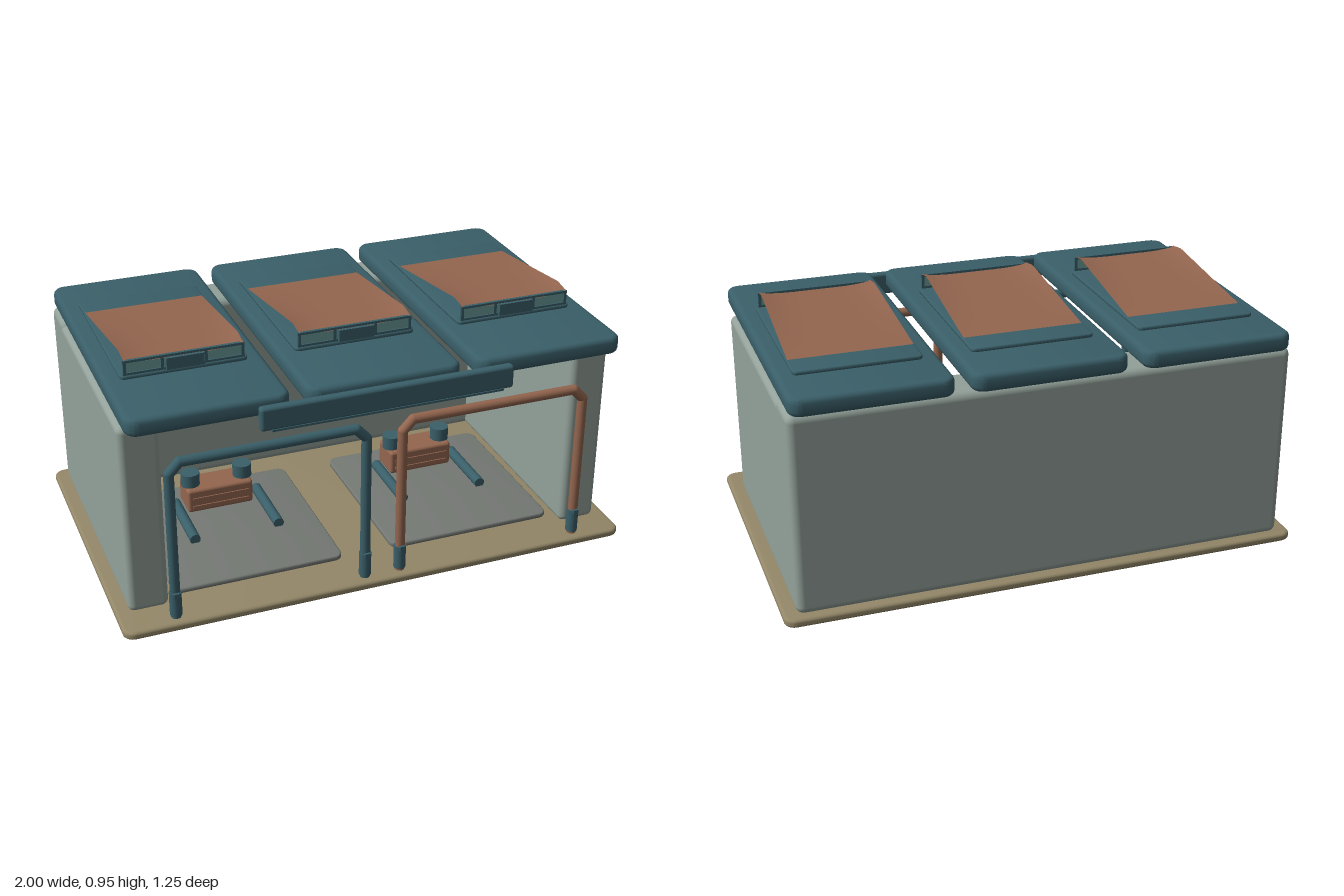
import * as THREE from 'three';
import { toCreasedNormals } from 'three/addons/utils/BufferGeometryUtils.js';
import { RoundedBoxGeometry } from 'three/addons/geometries/RoundedBoxGeometry.js';

const mat = (name, color, side = THREE.FrontSide) => {
  const m = new THREE.MeshStandardMaterial({ color, side });
  m.name = name;
  return m;
};

export function createModel() {
  const teal = mat('teal', 0x3a5f69);
  const copper = mat('copper', 0x94664f, THREE.DoubleSide);
  const wall = mat('grey green', 0x93a19a);
  const sand = mat('sand', 0x938768);
  const grey = mat('pad grey', 0x757974);
  const glass = mat('glass', 0x6a9c9a);
  const dark = mat('dark teal', 0x263a40);

  const model = new THREE.Group();
  model.name = 'shelter';

  const add = (parent, name, geo, material, x = 0, y = 0, z = 0) => {
    const mesh = new THREE.Mesh(geo, material);
    mesh.name = name;
    mesh.position.set(x, y, z);
    parent.add(mesh);
    return mesh;
  };
  const group = (name, x = 0, y = 0, z = 0) => {
    const g = new THREE.Group();
    g.name = name;
    g.position.set(x, y, z);
    model.add(g);
    return g;
  };
  const box = (w, h, d) => new THREE.BoxGeometry(w, h, d);
  const round = (w, h, d, r) => new RoundedBoxGeometry(w, h, d, 4, r);

  // Lying plate with rounded corners and bevelled edges, standing on y = 0
  const plate = (w, h, d, r, b) => {
    const x = w / 2 - b, y = d / 2 - b;
    const s = new THREE.Shape();
    s.moveTo(-x + r, -y);
    s.lineTo(x - r, -y).absarc(x - r, -y + r, r, -Math.PI / 2, 0);
    s.lineTo(x, y - r).absarc(x - r, y - r, r, 0, Math.PI / 2);
    s.lineTo(-x + r, y).absarc(-x + r, y - r, r, Math.PI / 2, Math.PI);
    s.lineTo(-x, -y + r).absarc(-x + r, -y + r, r, Math.PI, Math.PI * 1.5);
    const geo = new THREE.ExtrudeGeometry(s, {
      depth: h - 2 * b, bevelSize: b, bevelThickness: b, bevelSegments: 3, curveSegments: 6,
    });
    geo.translate(0, 0, b).rotateX(-Math.PI / 2);
    return toCreasedNormals(geo, 0.7);
  };

  // Round bar between two points
  const rod = (parent, name, a, b, r, material) => {
    const from = new THREE.Vector3(...a), to = new THREE.Vector3(...b);
    const dir = to.clone().sub(from);
    const mesh = add(parent, name, new THREE.CylinderGeometry(r, r, dir.length(), 16), material);
    mesh.position.copy(from).add(to).multiplyScalar(0.5);
    mesh.quaternion.setFromUnitVectors(new THREE.Vector3(0, 1, 0), dir.normalize());
    return mesh;
  };

  // Floor and walls
  add(model, 'base', plate(2, 0.032, 1.235, 0.03, 0.012), sand, 0, 0, -0.007);
  add(model, 'backWall', round(1.9, 0.775, 0.19, 0.03), wall, 0, 0.4125, -0.495);
  for (const s of [-1, 1]) {
    add(model, 'sideWall', round(0.15, 0.76, 1.06, 0.025), wall, s * 0.875, 0.405, -0.05);
  }

  // Bays with floor pad and docking unit
  for (const s of [-1, 1]) {
    const bay = group('bay', s * 0.435);
    add(bay, 'floorPad', plate(0.67, 0.02, 0.71, 0.03, 0.005), grey, 0, 0.031, 0.075);
    add(bay, 'dockBody', round(0.27, 0.1, 0.13, 0.012), copper, 0, 0.1, -0.13);
    for (const y of [0.075, 0.11]) {
      add(bay, 'dockRib', box(0.23, 0.012, 0.008), copper, 0, y, -0.064);
    }
    for (const t of [-1, 1]) {
      rod(bay, 'dockArm', [t * 0.17, 0.066, -0.14], [t * 0.17, 0.066, 0.15], 0.021, teal);
      add(bay, 'dockPost', new THREE.CylinderGeometry(0.038, 0.038, 0.055, 20), teal, t * 0.108, 0.176, -0.125);
    }
  }

  // Entrance arches
  for (const s of [-1, 1]) {
    const arch = group('entranceArch', s * 0.435, 0, 0.57);
    const m = s < 0 ? teal : copper;
    const pts = [[-0.365, 0.04], [-0.365, 0.63], [-0.325, 0.672], [0.325, 0.672], [0.365, 0.63], [0.365, 0.04]]
      .map(([x, y]) => [x, y, 0]);
    for (let i = 0; i < pts.length - 1; i++) {
      rod(arch, 'archBar', pts[i], pts[i + 1], 0.019, m);
      if (i) add(arch, 'archJoint', new THREE.SphereGeometry(0.019, 16, 10), m, ...pts[i]);
    }
    for (const x of [-0.365, 0.365]) {
      rod(arch, 'archFoot', [x, 0.05, 0], [x, 0.145, 0], 0.023, teal);
      add(arch, 'footClip', box(0.02, 0.018, 0.01), teal, x, 0.142, 0.023);
    }
    add(arch, 'archPeg', box(0.05, 0.005, 0.04), dark, 0, 0.643, -0.04);
  }

  // Scooped hatch sheet: rises to a crest, dips to the front, edges curl up
  const sheet = () => {
    const geo = new THREE.PlaneGeometry(0.45, 1, 16, 16).rotateX(-Math.PI / 2);
    const p = geo.attributes.position;
    for (let i = 0; i < p.count; i++) {
      const s = p.getX(i) / 0.225;
      const t = p.getZ(i) + 0.5;
      const z = -0.29 + t * 0.568;
      const rise = z < 0.21 ? (z + 0.29) / 0.5 : 1 - (z - 0.21) * 2.5;
      p.setXYZ(i, s * (0.23 - 0.012 * t), 0.882 + 0.066 * rise - 0.014 * rise * (1 - s ** 4), z);
    }
    geo.computeVertexNormals();
    return geo;
  };

  // Roof panels with raised hatches
  for (const x of [-0.647, 0, 0.647]) {
    const roof = group('roofPanel', x);
    add(roof, 'roofSlab', plate(0.588, 0.068, 1.2, 0.03, 0.018), teal, 0, 0.799, -0.012);
    add(roof, 'hatchFrame', plate(0.468, 0.015, 0.685, 0.015, 0.004), teal, 0, 0.865, -0.06);
    add(roof, 'hatchSheet', sheet(), copper);
    add(roof, 'windowGlass', box(0.43, 0.045, 0.005), glass, 0, 0.91, 0.27);
    for (const y of [0.884, 0.932]) add(roof, 'windowRail', box(0.445, 0.009, 0.012), teal, 0, y, 0.272);
    for (const px of [-0.216, -0.08, 0.08, 0.216]) {
      add(roof, 'windowPost', box(0.011, 0.05, 0.012), teal, px, 0.908, 0.272);
    }
    add(roof, 'windowLatch', box(0.138, 0.045, 0.012), teal, 0, 0.906, 0.287);
  }

  // Front beam joining the roof panels
  add(model, 'frontBeam', round(0.96, 0.09, 0.036, 0.012), teal, 0, 0.8, 0.604);
  add(model, 'beamLip', box(0.88, 0.008, 0.006), teal, 0, 0.756, 0.621);

  return model;
}
